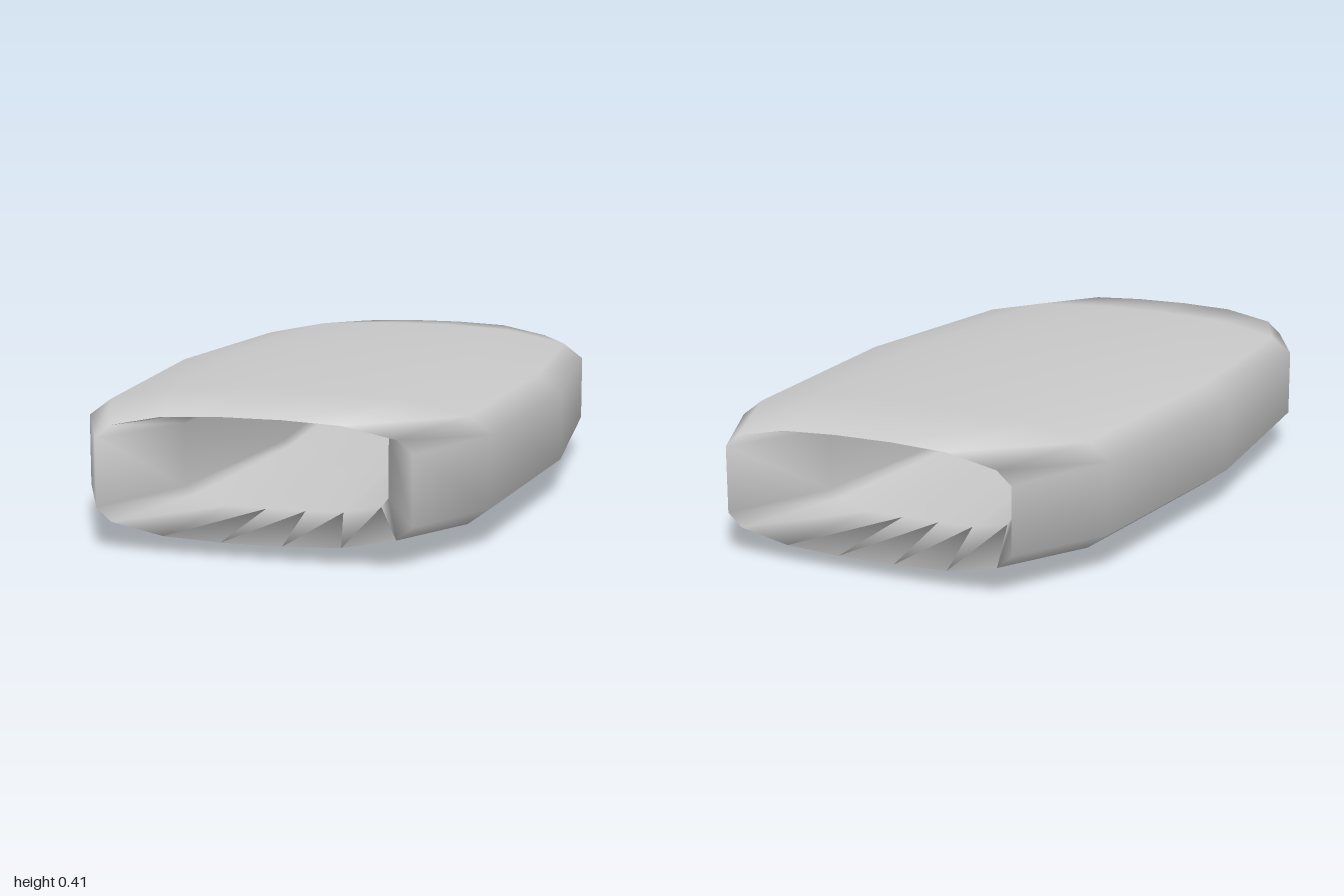
import * as THREE from 'three';

// One quarter of the ring's centre line (x, y), from the side to the top
const QUARTER = [[0.425, 0.092], [0.384, 0.128], [0.24, 0.157], [0.083, 0.164]];
const TUBE_SIDES = 8;
const CENTRE_Y = 0.204;

// Closed flattened ring: an eight-sided tube stretched along z, swept round the centre line
function ringGeometry() {
  const mirrored = QUARTER.map(([x, y]) => [-x, y]).reverse();
  const upper = [...QUARTER, ...mirrored];
  const path = [...upper, ...upper.map(([x, y]) => [-x, -y])];
  const n = path.length;
  const positions = [];
  const index = [];
  path.forEach(([x, y], i) => {
    const a = ((i + 0.5) / n) * Math.PI * 2;
    for (let j = 0; j < TUBE_SIDES; j++) {
      const t = (j / TUBE_SIDES) * Math.PI * 2;
      positions.push(
        x + 0.2 * Math.cos(t) * Math.cos(a),
        CENTRE_Y + y + 0.04 * Math.cos(t) * Math.sin(a),
        Math.sin(t)
      );
      const i2 = (i + 1) % n;
      const j2 = (j + 1) % TUBE_SIDES;
      const p = i * TUBE_SIDES + j;
      const q = i2 * TUBE_SIDES + j;
      const r = i2 * TUBE_SIDES + j2;
      const s = i * TUBE_SIDES + j2;
      index.push(p, q, r, p, r, s);
    }
  });
  const geometry = new THREE.BufferGeometry();
  geometry.setAttribute('position', new THREE.Float32BufferAttribute(positions, 3));
  geometry.setIndex(index);
  geometry.computeVertexNormals();
  return geometry;
}

export function createModel() {
  const group = new THREE.Group();
  group.name = 'flattenedRing';
  const grey = new THREE.MeshStandardMaterial({ color: 0xc8c8c8 });
  grey.name = 'light grey';
  const band = new THREE.Mesh(ringGeometry(), grey);
  band.name = 'band';
  group.add(band);
  return group;
}
